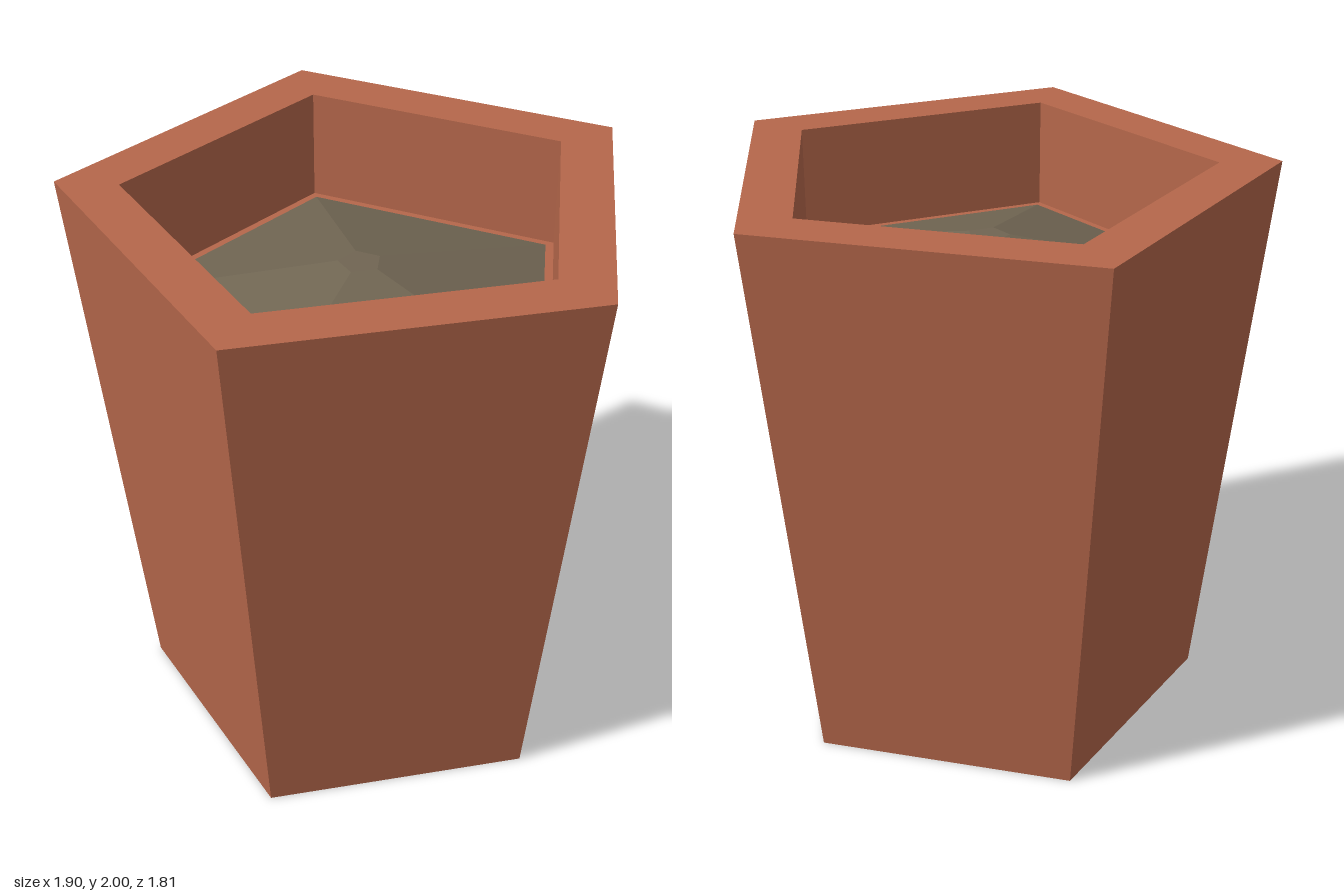
import * as THREE from 'three';

const SIDES = 5;

// Five-sided faceted solid from a [radius, height] profile, one corner towards the back
function pentagonal(profile, material, name) {
  const points = profile.map(([r, y]) => new THREE.Vector2(r, y));
  const geometry = new THREE.LatheGeometry(points, SIDES, Math.PI, Math.PI * 2).toNonIndexed();
  geometry.computeVertexNormals();
  const mesh = new THREE.Mesh(geometry, material);
  mesh.name = name;
  return mesh;
}

export function createModel() {
  const terracotta = new THREE.MeshStandardMaterial({ color: 0xb5674b });
  terracotta.name = 'terracotta';
  const earth = new THREE.MeshStandardMaterial({ color: 0x706552 });
  earth.name = 'earth';

  const model = new THREE.Group();
  model.name = 'planter';

  // Pot: base, flared wall, flat rim, upright inner wall and inner floor
  model.add(pentagonal([
    [0, 0], [0.773, 0], [1, 2], [0.785, 2], [0.785, 1.61], [0, 1.61],
  ], terracotta, 'pot'));

  // Soil: low mound with a small flat top
  model.add(pentagonal([
    [0.75, 1.612], [0.075, 1.76], [0, 1.76],
  ], earth, 'soil'));

  // Centre the pentagon's depth on z = 0
  model.children.forEach((part) => { part.position.z = 0.095; });
  return model;
}
